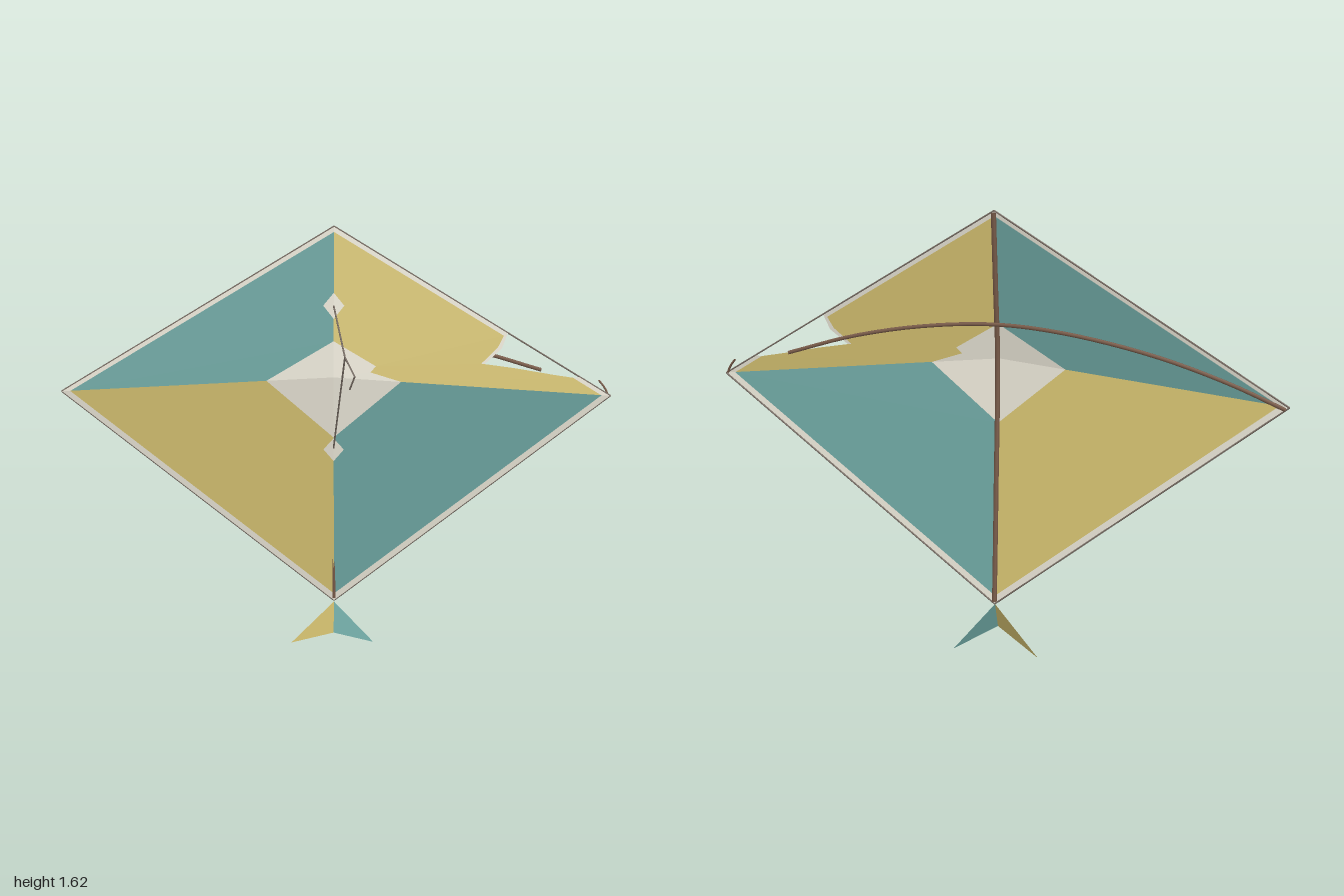
import * as THREE from 'three';

const mat = (name, color) => {
  const m = new THREE.MeshStandardMaterial({ color, side: THREE.DoubleSide });
  m.name = name;
  return m;
};

// Kite corners: raised centre, top, bottom, wing tips
const CY = 1.1, TOP = 1.62, BOTTOM = 0.193, TIP = 1.013;

// Depth of the sail at (x, y): four flat facets meeting at the centre
function sailZ(x, y, vy) {
  const w = Math.abs(x);
  const v = (y - CY + (CY - TIP) * w) / (vy - CY);
  return -0.03 - 0.07 * v - 0.095 * w;
}

export function createModel() {
  const kite = new THREE.Group();
  kite.name = 'kite';
  const yellow = mat('yellow cloth', 0xd5c271);
  const teal = mat('teal cloth', 0x6da5a1);
  const cream = mat('cream cloth', 0xe7e3d5);
  const wood = mat('brown wood', 0x7a5c4a);
  const cord = mat('grey brown cord', 0x786d64);

  const add = (name, geo, material) => {
    const mesh = new THREE.Mesh(geo, material);
    mesh.name = name;
    kite.add(mesh);
  };

  // Flat cloth piece laid on the facet that runs to vy
  const cloth = (name, pts, vy, material, lift = 0) => {
    const geo = new THREE.ShapeGeometry(new THREE.Shape(pts.map(p => new THREE.Vector2(...p))));
    const pos = geo.attributes.position;
    for (let i = 0; i < pos.count; i++)
      pos.setZ(i, sailZ(pos.getX(i), pos.getY(i), vy) + lift);
    geo.computeVertexNormals();
    add(name, geo, material);
  };

  // Round rod along a smooth curve
  const rod = (name, pts, r) => {
    const curve = new THREE.CatmullRomCurve3(pts.map(p => new THREE.Vector3(...p)));
    add(name, new THREE.TubeGeometry(curve, 32, r, 6), wood);
  };

  // Straight cord segments between points
  const string = (name, pts, r) => {
    for (let i = 0; i + 1 < pts.length; i++) {
      const line = new THREE.LineCurve3(new THREE.Vector3(...pts[i]), new THREE.Vector3(...pts[i + 1]));
      add(name, new THREE.TubeGeometry(line, 1, r, 6), cord);
    }
  };

  // Three whole sail quarters: panel, hem and part of the centre patch
  const quarters = [
    [-1, TOP, 0.036, 1.227, teal],
    [-1, BOTTOM, 0.034, 0.87, yellow],
    [1, BOTTOM, 0.034, 0.87, teal],
  ];
  for (const [s, vy, t, patchY, material] of quarters) {
    const innerV = [0, vy + (CY - vy) * t];
    const innerS = [s * (1 - t), TIP + (CY - TIP) * t];
    const patchS = [s * 0.24, CY - 0.24 * (CY - TIP)];
    cloth('sailPanel', [[0, patchY], innerV, innerS, patchS], vy, material);
    cloth('hem', [[0, vy], [s, TIP], innerS, innerV], vy, cream);
    cloth('centrePatch', [[0, CY], [0, patchY], patchS], vy, cream);
  }

  // Torn upper left quarter
  cloth('tornPanel', [
    [0, 1.227], [0, 1.601], [0.603, 1.235], [0.583, 1.195], [0.525, 1.138], [0.643, 1.12],
    [0.787, 1.093], [0.858, 1.081], [0.964, 1.016], [0.24, 1.079], [0.13, 1.115], [0.15, 1.136],
  ], TOP, yellow);
  cloth('tornHem', [
    [0, TOP], [0.617, 1.245], [0.597, 1.19], [0.537, 1.136], [0.525, 1.138],
    [0.583, 1.195], [0.603, 1.235], [0, 1.601],
  ], TOP, cream);
  cloth('tornHemTip', [[0.858, 1.081], [0.885, 1.083], [1, TIP], [0.964, 1.016]], TOP, cream);
  cloth('tornCentrePatch', [[0, CY], [0, 1.227], [0.15, 1.136], [0.13, 1.115], [0.24, 1.079]], TOP, cream);

  // Small diamond patches where the bridle is tied
  for (const [y, vy] of [[1.35, TOP], [0.823, BOTTOM]])
    for (const s of [-1, 1])
      cloth('bridlePatch', [[0, y - 0.045], [s * 0.037, y], [0, y + 0.045]], vy, cream, 0.003);

  // Cord around the outer edge
  string('edgeCord', [
    [0, TOP, -0.102], [0.998, TIP, -0.127], [0, BOTTOM, -0.102], [-0.998, TIP, -0.127], [0, TOP, -0.102],
  ], 0.003);

  // Spine bowed towards the centre, and the broken cross spar behind it
  rod('spine', [
    [0, 1.612, -0.11], [0, 1.35, -0.081], [0, 1.1, -0.053], [0, 0.65, -0.077], [0, 0.4, -0.0925], [0, 0.205, -0.106],
  ], 0.009);
  const sparZ = [[-0.985, -0.135], [-0.8, -0.138], [-0.55, -0.138], [-0.25, -0.122], [0, -0.1],
    [0.25, -0.117], [0.5, -0.131], [0.745, -0.138]];
  rod('crossSpar', sparZ.map(([x, z]) => [x, 1.235 - 0.235 * x * x, z]), 0.007);
  rod('brokenSparStub', [[0.99, 1.016, -0.13], [0.975, 1.043, -0.134], [0.955, 1.067, -0.138]], 0.004);

  // Bridle with its loose end
  const knot = [0.043, 1.21, 0.11];
  string('bridle', [[0, 1.35, -0.06], knot, [0, 0.83, -0.047]], 0.003);
  string('looseCord', [knot, [0.077, 1.15, 0.14], [0.06, 1.1, 0.123]], 0.003);

  // Folded tail fins
  const fins = [[0.153, 0.004, -0.124, teal], [-0.167, 0, -0.117, yellow]];
  for (const [x, y, z, material] of fins) {
    const geo = new THREE.BufferGeometry().setFromPoints([
      new THREE.Vector3(0, 0.19, -0.097), new THREE.Vector3(0, 0.08, -0.052), new THREE.Vector3(x, y, z),
    ]);
    geo.setIndex(x > 0 ? [0, 1, 2] : [0, 2, 1]);
    geo.computeVertexNormals();
    add('tailFin', geo, material);
  }
  return kite;
}
